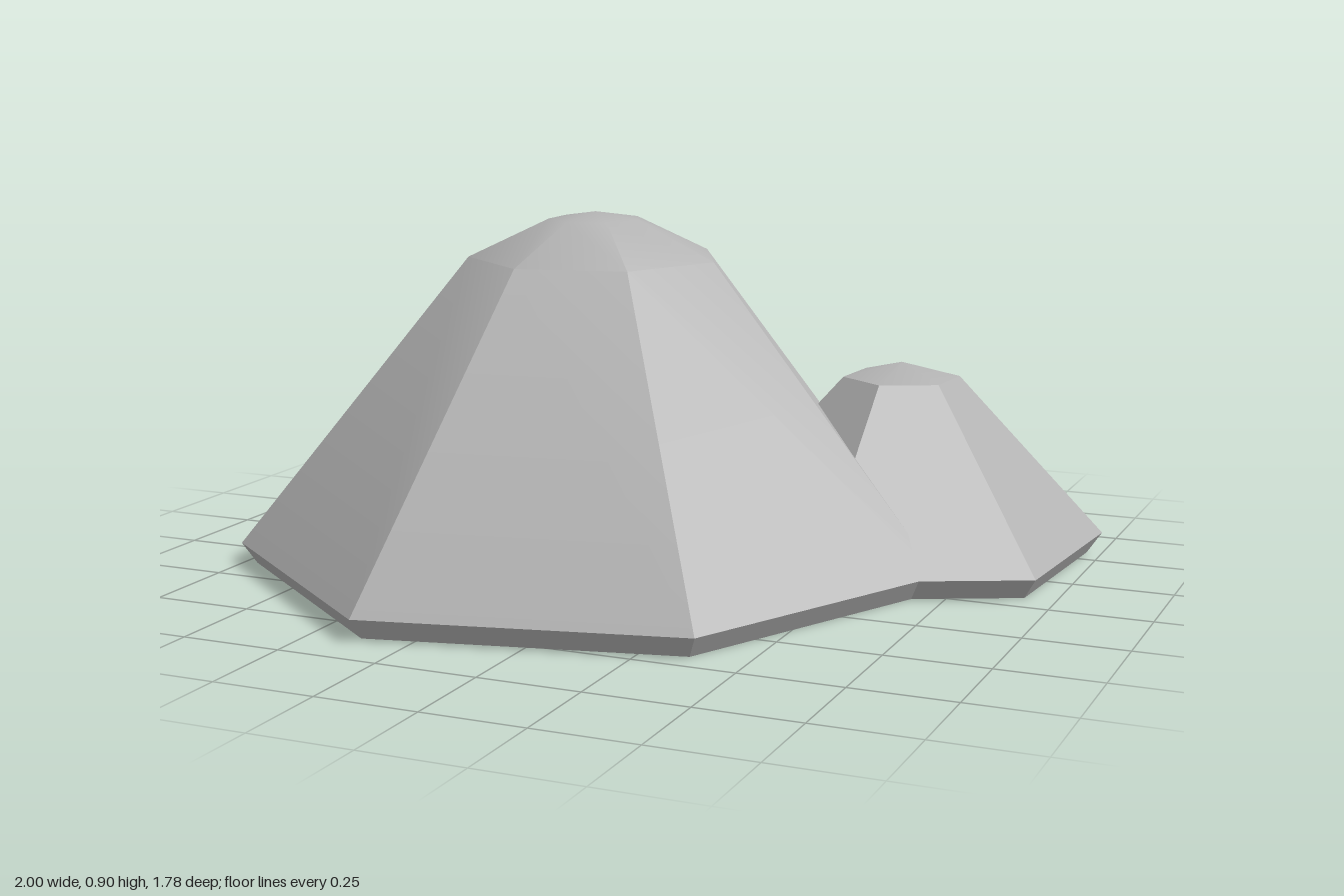
import * as THREE from 'three';
import { toCreasedNormals } from 'three/addons/utils/BufferGeometryUtils.js';

// Faceted mound turned from a [radius, height] profile; soft edges are smoothed, sharp ones kept
function mound(name, profile, sides, firstCorner, material) {
  const points = profile.map(([r, y]) => new THREE.Vector2(r, y));
  const lathe = new THREE.LatheGeometry(points, sides, firstCorner);
  const mesh = new THREE.Mesh(toCreasedNormals(lathe, Math.PI / 6), material);
  mesh.name = name;
  return mesh;
}

export function createModel() {
  const group = new THREE.Group();
  group.name = 'rockMounds';
  const stone = new THREE.MeshStandardMaterial({ color: 0xb4b4b4 });
  stone.name = 'stone grey';

  // Tall seven-sided mound with a rounded cap and undercut base
  const large = mound('largeMound',
    [[0, 0], [0.872, 0], [0.91, 0.053], [0.32, 0.787], [0.118, 0.882], [0, 0.9]],
    7, Math.PI / 2, stone);
  large.position.set(-0.18, 0, 0);

  // Low six-sided mound leaning into its back left side
  const small = mound('smallMound',
    [[0, 0], [0.494, 0], [0.533, 0.053], [0.15, 0.47], [0, 0.508]],
    6, THREE.MathUtils.degToRad(55.4), stone);
  small.position.set(0.515, 0, -0.36);

  group.add(large, small);
  return group;
}
